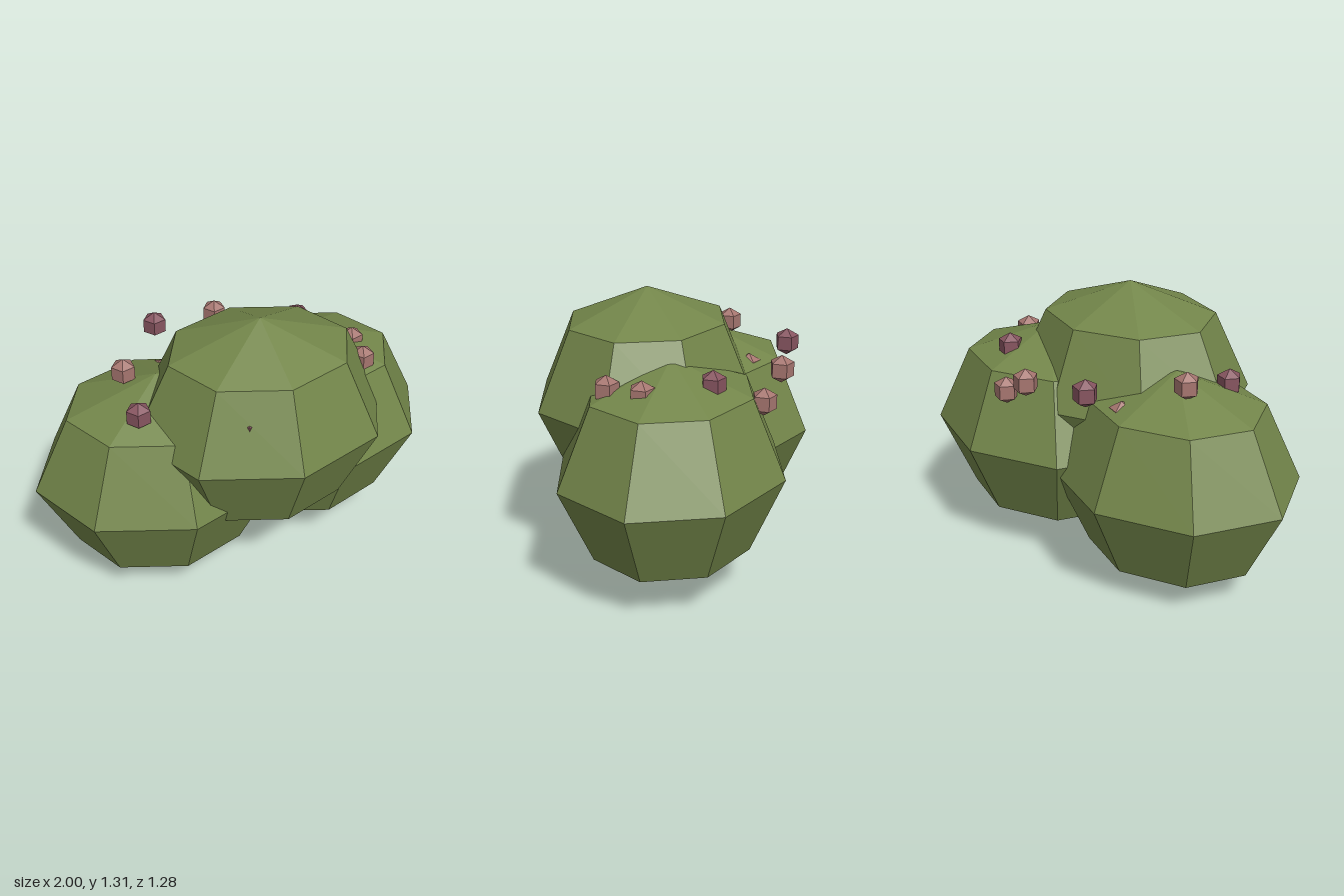
import * as THREE from 'three';

export function createModel() {
  const group = new THREE.Group();
  group.name = 'berryBush';

  const material = (name, color) => {
    const m = new THREE.MeshStandardMaterial({ color, flatShading: true });
    m.name = name;
    return m;
  };
  const leafGreen = material('leafGreen', 0x73864a);
  const paleBerry = material('paleBerry', 0xa67670);
  const darkBerry = material('darkBerry', 0x875560);

  const add = (name, geometry, mat, [x, y, z]) => {
    const mesh = new THREE.Mesh(geometry, mat);
    mesh.name = name;
    mesh.position.set(x, y, z);
    group.add(mesh);
  };

  // Three overlapping clumps of leaves, wider than tall
  const clump = new THREE.SphereGeometry(1, 8, 4).scale(0.615, 0.514, 0.528);
  add('rightClump', clump, leafGreen, [-0.385, 0.52, -0.05]);
  add('leftClump', clump, leafGreen, [0.385, 0.58, -0.113]);
  add('frontClump', clump, leafGreen, [0.06, 0.806, 0.11]);

  // Berries in a loose ring around the crown, some sunk into the leaves
  const berry = new THREE.SphereGeometry(0.065, 5, 3);
  const paleSpots = [
    [0.08, 0.99, -0.54], [0.26, 0.89, -0.505], [0.61, 0.99, -0.055],
    [0.585, 0.99, 0.115], [-0.515, 1.025, -0.135], [-0.28, 0.868, -0.3],
  ];
  const darkSpots = [
    [-0.25, 1.02, -0.49], [0.44, 1.01, -0.32], [-0.53, 0.965, 0.14], [-0.12, 0.99, 0.43],
  ];
  paleSpots.forEach((p) => add('paleBerry', berry, paleBerry, p));
  darkSpots.forEach((p) => add('darkBerry', berry, darkBerry, p));

  return group;
}
